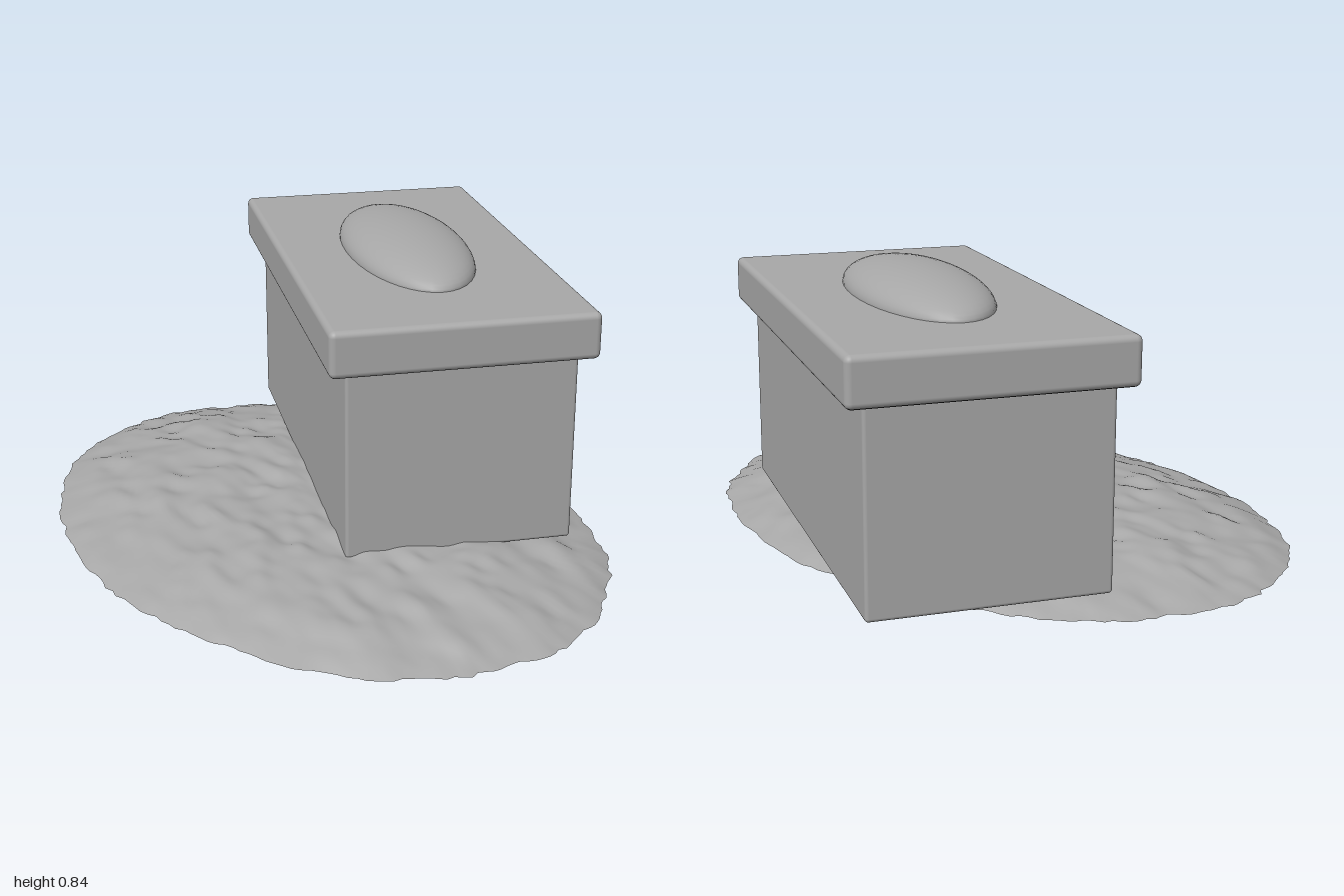
import * as THREE from 'three';
import { RoundedBoxGeometry } from 'three/addons/geometries/RoundedBoxGeometry.js';

// Seeded lattice hash and smooth value noise in -1..1
function hash(i, j) {
  const s = Math.sin(i * 127.1 + j * 311.7) * 43758.5453;
  return (s - Math.floor(s)) * 2 - 1;
}
function noise(x, z) {
  const i = Math.floor(x), j = Math.floor(z);
  const u = THREE.MathUtils.smoothstep(x - i, 0, 1);
  const v = THREE.MathUtils.smoothstep(z - j, 0, 1);
  const lerp = THREE.MathUtils.lerp;
  return lerp(lerp(hash(i, j), hash(i + 1, j), u), lerp(hash(i, j + 1), hash(i + 1, j + 1), u), v);
}

// Low oval mound: rings of points, lifted by a dome profile plus ripples
function moundGeometry(rings = 50, segs = 220) {
  const pos = [], index = [];
  for (let r = 0; r <= rings; r++) {
    const t = r / rings;
    for (let s = 0; s < segs; s++) {
      const a = (s / segs) * Math.PI * 2;
      const cos = Math.cos(a), sin = Math.sin(a);
      const ragged = 1 + t ** 4 * (0.012 * noise(cos * 12 + 40, sin * 9) + 0.012 * noise(cos * 32, sin * 24 + 70));
      const x = cos * t * 0.992 * ragged;
      const z = 0.144 + sin * t * 0.717 * ragged;
      const ripple = 0.011 * noise(x * 7, z * 13) + 0.008 * noise(x * 16 + 9, z * 23);
      const y = 0.087 * (1 - t ** 4) + ripple * (1 - t ** 12);
      pos.push(x, Math.max(0, y), z);
      if (r < rings) {
        const n = (s + 1) % segs, b = r * segs, c = b + segs;
        if (r > 0) index.push(b + s, b + n, c + s);
        index.push(b + n, c + n, c + s);
      }
    }
  }
  const g = new THREE.BufferGeometry();
  g.setAttribute('position', new THREE.Float32BufferAttribute(pos, 3));
  g.setIndex(index);
  g.computeVertexNormals();
  // The centre ring is one point: give it a plain upward normal
  for (let s = 0; s < segs; s++) g.attributes.normal.setXYZ(s, 0, 1, 0);
  return g;
}

export function createModel() {
  const model = new THREE.Group();
  model.name = 'boxOnMound';

  const grey = new THREE.MeshStandardMaterial({ color: 0xa7a7a7, side: THREE.DoubleSide });
  grey.name = 'stoneGrey';
  const dark = new THREE.MeshStandardMaterial({ color: 0x303030 });
  dark.name = 'undersideDark';
  // Box face order: +x, -x, +y, -y, +z, -z
  const darkBelow = [grey, grey, grey, dark, grey, grey];

  const add = (parent, name, geometry, material, y) => {
    const mesh = new THREE.Mesh(geometry, material);
    mesh.name = name;
    mesh.position.y = y;
    parent.add(mesh);
  };

  // Rippled ground sheet, open underneath
  add(model, 'mound', moundGeometry(), grey, 0);

  // Box, lid and lid boss share one turned group
  const box = new THREE.Group();
  box.name = 'box';
  box.position.set(-0.106, 0, -0.252);
  box.rotation.y = -0.415;
  model.add(box);
  add(box, 'body', new RoundedBoxGeometry(1.32, 0.552, 0.655, 3, 0.01), darkBelow, 0.346);
  add(box, 'lid', new RoundedBoxGeometry(1.4, 0.134, 0.755, 4, 0.018), darkBelow, 0.688);

  // Oval boss: upper half of a flattened sphere
  const boss = new THREE.SphereGeometry(1, 40, 14, 0, Math.PI * 2, 0, Math.PI / 2);
  boss.scale(0.435, 0.083, 0.183);
  add(box, 'lidBoss', boss, grey, 0.753);

  return model;
}
